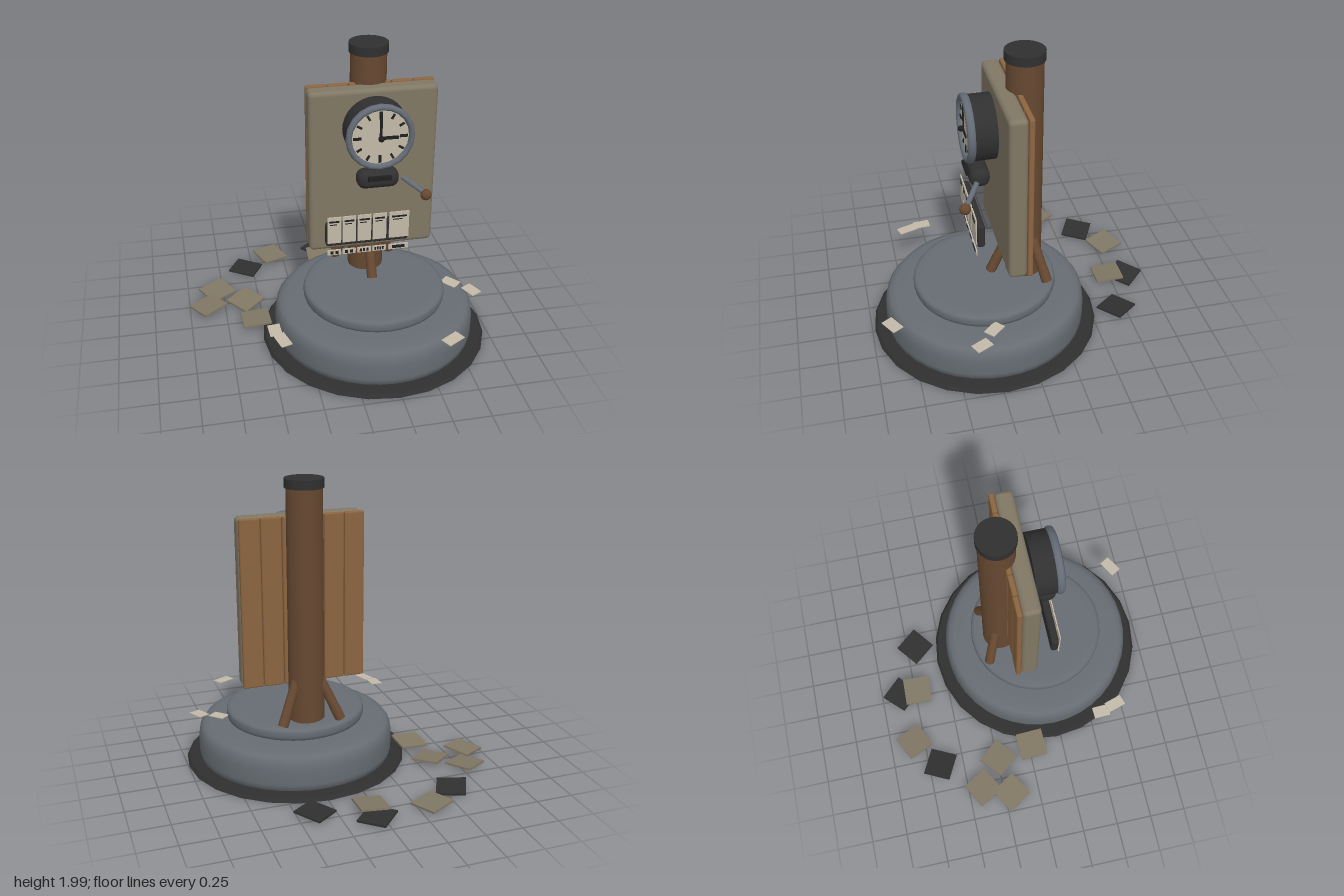
import * as THREE from 'three';
import { RoundedBoxGeometry } from 'three/addons/geometries/RoundedBoxGeometry.js';

const mat = (name, color, flatShading = false) => {
  const m = new THREE.MeshStandardMaterial({ color, flatShading });
  m.name = name;
  return m;
};

export function createModel() {
  const stone = mat('stone grey', 0x666c72);
  const board = mat('drab board', 0x807764);
  const wood = mat('plank wood', 0x8c6540);
  const bark = mat('post brown', 0x664831);
  const black = mat('charcoal', 0x303031);
  const ink = mat('ink', 0x1f1f1f);
  const cream = mat('paper cream', 0xc2b9a8);
  const steel = mat('steel', 0x656c76);

  const model = new THREE.Group();
  const CX = 0.235, CZ = 0.22, POST_Z = -0.05;

  const add = (name, geo, material, x = 0, y = 0, z = 0, parent = model) => {
    const m = new THREE.Mesh(geo, material);
    m.name = name;
    m.position.set(x, y, z);
    parent.add(m);
    return m;
  };
  const group = (name, x = 0, y = 0, z = 0) => {
    const g = new THREE.Group();
    g.name = name;
    g.position.set(x, y, z);
    model.add(g);
    return g;
  };
  const box = (w, h, d) => new THREE.BoxGeometry(w, h, d);
  // cylinder running from a to b
  const rod = (name, a, b, r0, r1, material, sides = 12) => {
    const A = new THREE.Vector3(...a), B = new THREE.Vector3(...b);
    const dir = B.clone().sub(A);
    const m = add(name, new THREE.CylinderGeometry(r1, r0, dir.length(), sides), material);
    m.position.copy(A).add(B).multiplyScalar(0.5);
    m.quaternion.setFromUnitVectors(new THREE.Vector3(0, 1, 0), dir.normalize());
    return m;
  };
  // worn round slab with slightly uneven upper surface
  const slab = (name, profile, top) => {
    const geo = new THREE.LatheGeometry(profile.map(p => new THREE.Vector2(...p)), 40);
    const p = geo.attributes.position;
    for (let i = 0; i < p.count; i++) {
      const r = Math.hypot(p.getX(i), p.getZ(i)), a = Math.atan2(p.getX(i), p.getZ(i));
      if (p.getY(i) > top - 0.04 && r > 0.05) p.setY(i, p.getY(i) + 0.003 * Math.sin(7 * a) * Math.cos(3 * a));
    }
    add(name, geo, stone, CX, 0, CZ);
  };

  // Base: ground disc, large slab, small step
  add('groundDisc', new THREE.CylinderGeometry(0.745, 0.762, 0.022, 24), black, CX, 0.015, CZ);
  slab('baseSlab', [[0, 0.026], [0.64, 0.026], [0.665, 0.04], [0.672, 0.08], [0.672, 0.18], [0.662, 0.235],
    [0.64, 0.265], [0.6, 0.279], [0.5, 0.282], [0, 0.282]], 0.28);
  slab('baseStep', [[0, 0.296], [0.455, 0.296], [0.47, 0.305], [0.476, 0.325], [0.476, 0.355], [0.47, 0.372],
    [0.45, 0.382], [0.4, 0.384], [0, 0.384]], 0.38);

  // Post with cap and three slanted braces
  add('post', new THREE.CylinderGeometry(0.117, 0.12, 1.58, 28), bark, CX, 1.16, POST_Z);
  add('postCap', new THREE.CylinderGeometry(0.127, 0.127, 0.06, 28), black, CX, 1.965, POST_Z);
  for (const s of [-1, 1])
    rod('rearBrace', [CX + s * 0.2, 0.385, -0.165], [CX + s * 0.08, 0.67, -0.09], 0.035, 0.032, bark);
  rod('frontBrace', [CX, 0.385, 0.175], [CX, 0.67, 0.045], 0.035, 0.032, bark);

  // Notice board with a plank backing
  add('board', new RoundedBoxGeometry(0.835, 1.13, 0.118, 3, 0.03), board, 0.233, 1.185, 0.08);
  for (let i = 0; i < 6; i++) {
    const plank = add('plank', new RoundedBoxGeometry(0.136, 1.13, 0.036, 1, 0.01), wood,
      0.233 + (i - 2.5) * 0.1395, 1.185, 0.002);
    plank.rotation.y = 0.03 * Math.sin(i * 2.4);
  }

  // Clock
  const clock = group('clock', 0.233, 1.505, 0);
  const along = (name, r, z0, z1, material, sides = 32) => {
    const m = add(name, new THREE.CylinderGeometry(r, r, z1 - z0, sides), material, 0, 0, (z0 + z1) / 2, clock);
    m.rotation.x = Math.PI / 2;
  };
  along('clockStem', 0.035, 0.12, 0.17, bark, 12);
  along('clockDrum', 0.207, 0.155, 0.305, black);
  along('clockFace', 0.192, 0.304, 0.318, cream);
  const rim = add('clockRim', new THREE.TorusGeometry(0.2, 0.02, 8, 20), steel, 0, 0, 0.315, clock);
  rim.scale.z = 1.4;
  for (let i = 0; i < 12; i++) {
    const a = i * Math.PI / 6, big = i % 3 === 0, len = big ? 0.05 : 0.036, r = 0.172 - len / 2;
    const tick = add('hourMark', box(big ? 0.018 : 0.014, len, 0.006), ink,
      r * Math.sin(a), r * Math.cos(a), 0.321, clock);
    tick.rotation.z = -a;
  }
  add('minuteHand', box(0.016, 0.16, 0.008), ink, 0, 0.075, 0.332, clock);
  add('hourHand', box(0.11, 0.02, 0.008), ink, 0.055, 0, 0.336, clock);
  add('handHub', new THREE.SphereGeometry(0.02, 12, 8), ink, 0, 0, 0.346, clock);

  // Dispenser housing with slot and side lever
  add('dispenser', new RoundedBoxGeometry(0.27, 0.122, 0.13, 4, 0.052), black, 0.235, 1.198, 0.255);
  add('dispenserSlot', box(0.15, 0.026, 0.03), ink, 0.235, 1.222, 0.322);
  rod('leverArm', [0.39, 1.2, 0.285], [0.52, 1.115, 0.38], 0.017, 0.017, steel, 10);
  add('leverKnob', new THREE.SphereGeometry(0.036, 16, 12), bark, 0.522, 1.11, 0.385);

  // Rack of cards with labels underneath
  add('cardRack', new RoundedBoxGeometry(0.55, 0.165, 0.052, 3, 0.018), black, 0.17, 0.822, 0.272);
  const cards = [[-0.053, 0.09], [0.045, 0.088], [0.145, 0.09], [0.246, 0.09], [0.375, 0.132]];
  cards.forEach(([x, w], i) => {
    const card = group('card', x, 0, 0.304);
    add('cardSheet', box(w, 0.19, 0.008), cream, 0, 0.865, 0, card);
    add('cardHeading', box(w * 0.75, 0.012, 0.002), ink, 0, 0.928, 0.005, card);
    add('cardLine', box(w * 0.5, 0.006, 0.002), ink, -w * 0.08, 0.907, 0.005, card);
    add('labelSheet', box(w, 0.038, 0.008), cream, 0, 0.7, 0, card);
    const bars = [2, 2, 3, 4, 1][i];
    const bw = bars === 1 ? w * 0.65 : w * 0.45 / bars;
    for (let b = 0; b < bars; b++)
      add('labelBar', box(bw, 0.022, 0.002), ink, (b - (bars - 1) / 2) * w * 0.75 / bars, 0.7, 0.005, card);
  });

  // Scattered floor tiles: x, y, z, turn, material, tilt
  const tiles = [
    [-0.345, 0.03, -0.823, 0.43, board, 0.06], [-0.553, 0.026, -0.668, -0.47, black, -0.08],
    [0.04, 0.022, -0.855, 0.78, black, 0.05], [0.035, 0.043, -0.73, -0.03, board, 0.08],
    [0.388, 0.03, -0.685, 0.67, black, -0.07], [-0.79, 0.03, -0.395, 0.54, board, 0.06],
    [-0.87, 0.042, -0.2, 0.55, board, -0.08], [-0.6, 0.03, -0.24, 0.72, board, 0.08],
    [-0.555, 0.045, 0.02, 0.03, board, -0.06],
  ];
  tiles.forEach(([x, y, z, turn, material, tilt], i) => {
    const t = add('fallenTile', box(0.193, 0.014, 0.193), material, x, y, z);
    t.rotation.set(tilt, turn, i % 2 ? tilt : -tilt, 'YXZ');
  });

  // Loose slips of paper hovering around the base: x, y, z, turn, width, depth
  const slips = [
    [-0.487, 0.312, 0.545, 0.05, 0.08, 0.115], [-0.452, 0.312, 0.655, 0.3, 0.075, 0.13],
    [0.768, 0.337, 0.262, 0.72, 0.08, 0.115], [0.884, 0.325, 0.363, 0.45, 0.08, 0.115],
    [0.593, 0.341, 0.885, 0.52, 0.13, 0.078],
  ];
  for (const [x, y, z, turn, w, d] of slips) {
    const s = add('paperSlip', box(w, 0.005, d), cream, x, y, z);
    s.rotation.set(0.03, turn, 0.03, 'YXZ');
  }

  return model;
}
